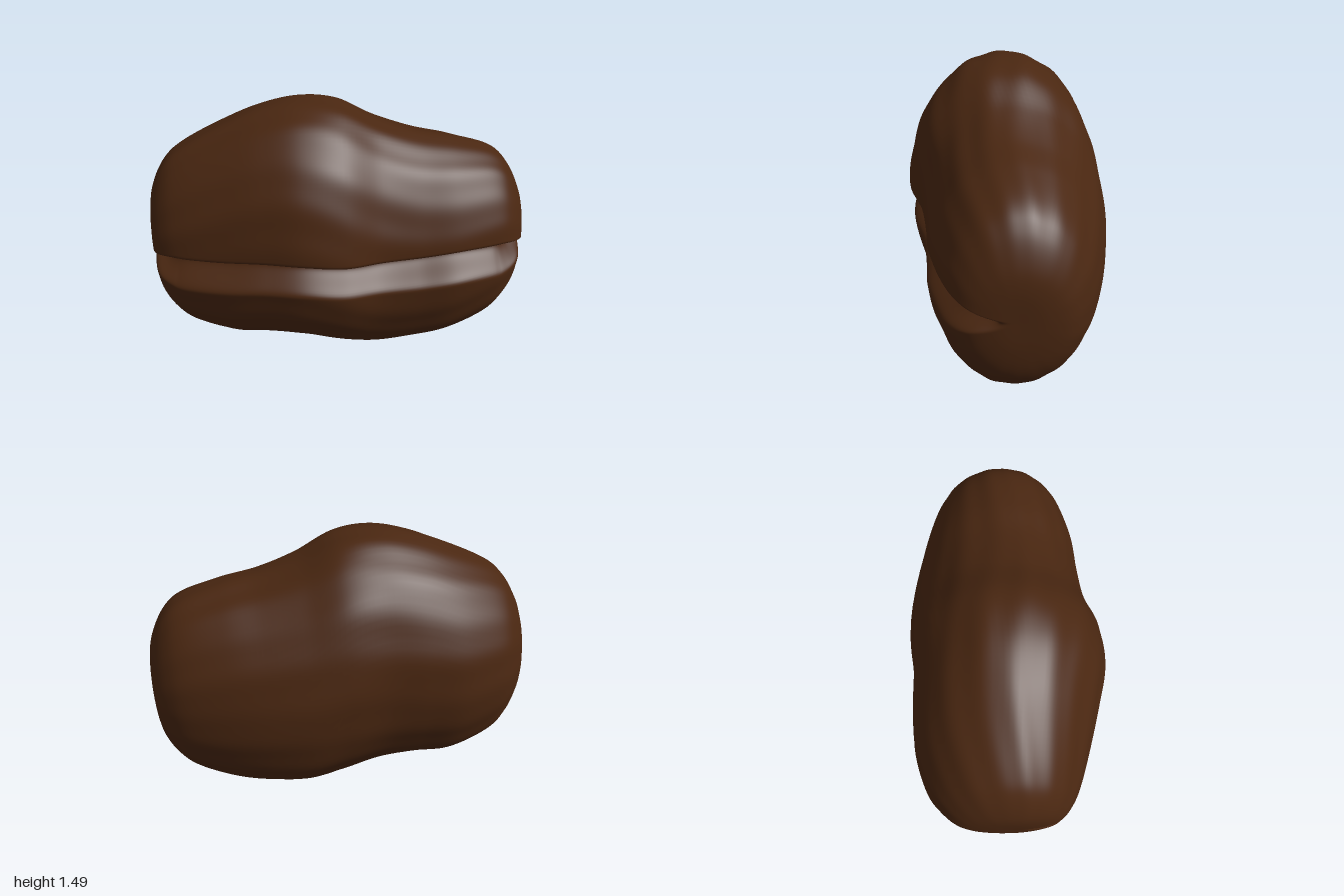
import * as THREE from 'three';

// Cross-sections along the bean: x, top y, bottom y, back depth, front depth, groove y
const SECTIONS = [
  [-1.0, 0.72, 0.72, 0, 0, 0.72],
  [-0.998, 0.95, 0.5, 0.16, 0.13, 0.72],
  [-0.97, 1.08, 0.38, 0.28, 0.24, 0.72],
  [-0.9, 1.2, 0.27, 0.37, 0.31, 0.725],
  [-0.8, 1.28, 0.19, 0.44, 0.36, 0.73],
  [-0.6, 1.38, 0.12, 0.5, 0.425, 0.745],
  [-0.4, 1.46, 0.12, 0.505, 0.48, 0.765],
  [-0.2, 1.5, 0.1, 0.5, 0.525, 0.77],
  [0.0, 1.48, 0.05, 0.52, 0.52, 0.75],
  [0.2, 1.38, 0.005, 0.525, 0.46, 0.73],
  [0.4, 1.31, 0.02, 0.5, 0.435, 0.73],
  [0.6, 1.27, 0.06, 0.45, 0.42, 0.745],
  [0.8, 1.21, 0.15, 0.38, 0.365, 0.74],
  [0.9, 1.13, 0.24, 0.32, 0.31, 0.73],
  [0.97, 1.0, 0.37, 0.24, 0.23, 0.72],
  [0.998, 0.88, 0.53, 0.13, 0.12, 0.71],
  [1.0, 0.71, 0.71, 0, 0, 0.71],
];

const { smoothstep, clamp } = THREE.MathUtils;

// Smooth curve through the cross-section values
function sectionAt(t) {
  const last = SECTIONS.length - 1;
  const i = Math.min(Math.floor(t), last - 1);
  const f = t - i;
  const at = (k) => SECTIONS[clamp(k, 0, last)];
  return at(i).map((b, c) => {
    const a = at(i - 1)[c], d = at(i + 1)[c], e = at(i + 2)[c];
    return b + 0.5 * f * (d - a + f * (2 * a - 5 * b + 4 * d - e + f * (3 * (b - d) + e - a)));
  });
}

function beanGeometry(steps = 128, sides = 176) {
  const positions = [], indices = [];
  for (let i = 0; i <= steps; i++) {
    const [x, top, bottom, back, front, groove] = sectionAt((i / steps) * (SECTIONS.length - 1));
    const cy = (top + bottom) / 2, hy = (top - bottom) / 2;
    const mid = hy > 0.01 ? Math.asin(clamp((groove - cy) / hy, -0.5, 0.5)) : 0;
    const size = Math.min(1, hy / 0.5);
    for (let j = 0; j < sides; j++) {
      // Points crowd together around the groove
      const t = (j / sides) * Math.PI * 2;
      const a = t - 0.7 * Math.sin(t) + mid;
      // Faint lengthwise wrinkles
      const ripple = 1 + 0.004 * size * (Math.sin(a * 19 + 2 * Math.sin(x * 4)) + Math.sin(a * 11 - x * 5) - 1);
      const y = cy + hy * Math.sin(a) * ripple;
      let z = (Math.cos(a) > 0 ? front : back) * Math.cos(a) * ripple;
      // Crease along the front: steep upper wall, gentler lower wall
      let px = x;
      if (z > 0) {
        const d = (y - groove) / Math.max(size, 0.05);
        const cut = d > 0 ? 1 - smoothstep(d, 0.0, 0.085) : 1 - smoothstep(-d, 0.0, 0.13);
        const depth = cut * smoothstep(z, 0.04, 0.28);
        z -= 0.13 * depth;
        px -= Math.sign(x) * 0.04 * depth * smoothstep(Math.abs(x), 0.8, 1);
      }
      positions.push(px, y, z);
      if (i < steps) {
        const p = i * sides + j, q = i * sides + ((j + 1) % sides);
        indices.push(p, p + sides, q + sides, p, q + sides, q);
      }
    }
  }
  const geometry = new THREE.BufferGeometry();
  geometry.setAttribute('position', new THREE.Float32BufferAttribute(positions, 3));
  geometry.setIndex(indices);
  geometry.computeVertexNormals();
  return geometry;
}

export function createModel() {
  const group = new THREE.Group();
  group.name = 'coffeeBean';
  const roastedBrown = new THREE.MeshStandardMaterial({ color: 0x4a2711 });
  roastedBrown.name = 'roastedBrown';
  const bean = new THREE.Mesh(beanGeometry(), roastedBrown);
  bean.name = 'bean';
  group.add(bean);
  return group;
}
